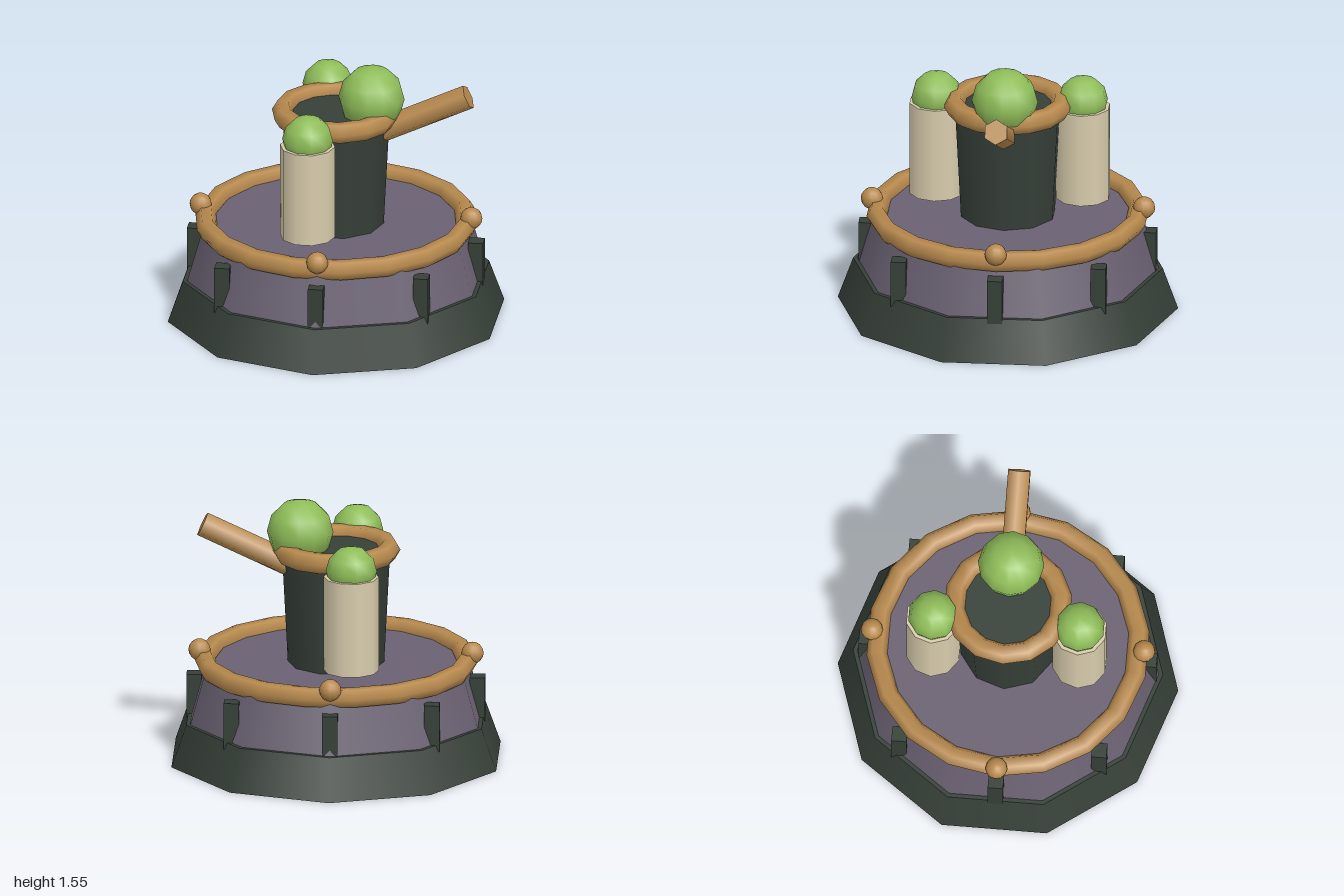
import * as THREE from 'three';

const mat = (name, color) => {
  const m = new THREE.MeshStandardMaterial({ color });
  m.name = name;
  return m;
};

export function createModel() {
  const model = new THREE.Group();
  model.name = 'turret';
  const iron = mat('dark iron', 0x363f38);
  const stone = mat('purple stone', 0x6a6172);
  const wood = mat('bronze wood', 0xb88a4e);
  const bone = mat('cream tube', 0xd8ccac);
  const green = mat('green orb', 0x8fbd59);

  const add = (name, geometry, material, x = 0, y = 0, z = 0, parent = model) => {
    const mesh = new THREE.Mesh(geometry, material);
    mesh.name = name;
    mesh.position.set(x, y, z);
    parent.add(mesh);
    return mesh;
  };
  // Ten-sided tapered drum between two heights
  const drum = (rTop, rBottom, y0, y1) =>
    new THREE.CylinderGeometry(rTop, rBottom, y1 - y0, 10).translate(0, (y0 + y1) / 2, 0);
  // Flat-lying hexagonal-section ring
  const ring = (r, tube, sides) => new THREE.TorusGeometry(r, tube, 6, sides).rotateX(Math.PI / 2);

  // Stepped base
  add('base', drum(0.91, 1, 0, 0.25), iron);
  add('platform', drum(0.793, 0.885, 0.25, 0.57), stone);
  add('platformRing', ring(0.77, 0.061, 18), wood, 0, 0.575, 0);

  // Square posts around the platform, with knobs on the ring at the four main points
  for (let i = 0; i < 8; i++) {
    const a = (i * Math.PI) / 4;
    const s = Math.sin(a), c = Math.cos(a);
    add('post', new THREE.BoxGeometry(0.09, 0.28, 0.09), iron, s * 0.83, 0.35, c * 0.83);
    if (i % 2 === 0) add('knob', new THREE.SphereGeometry(0.065, 12, 8), wood, s * 0.8, 0.63, c * 0.8);
  }

  // Turret facing the model's left
  const turret = new THREE.Group();
  turret.name = 'turretHead';
  model.add(turret);
  add('pot', drum(0.318, 0.282, 0.56, 1.26).rotateY(Math.PI / 2), iron, 0, 0, 0, turret);
  add('potRing', ring(0.315, 0.063, 14), wood, 0, 1.255, 0, turret);
  add('largeOrb', new THREE.SphereGeometry(0.195, 12, 6), green, 0.21, 1.36, 0, turret);

  // Hexagonal barrel tilted up by 25 degrees
  const tilt = THREE.MathUtils.degToRad(25);
  const barrel = new THREE.CylinderGeometry(0.075, 0.075, 0.65, 6)
    .translate(0, -0.325, 0)
    .rotateY(Math.PI / 2)
    .rotateZ(tilt - Math.PI / 2);
  add('barrel', barrel, wood, 0.782, 1.398, 0, turret);

  // Side tubes with orbs resting in them
  for (const side of [-1, 1]) {
    add('sideTube', drum(0.162, 0.162, 0.645, 1.215).rotateY(Math.PI / 2), bone, -0.108, 0, side * 0.43, turret);
    add('smallOrb', new THREE.SphereGeometry(0.15, 10, 6), green, -0.108, 1.25, side * 0.43, turret);
  }
  return model;
}
